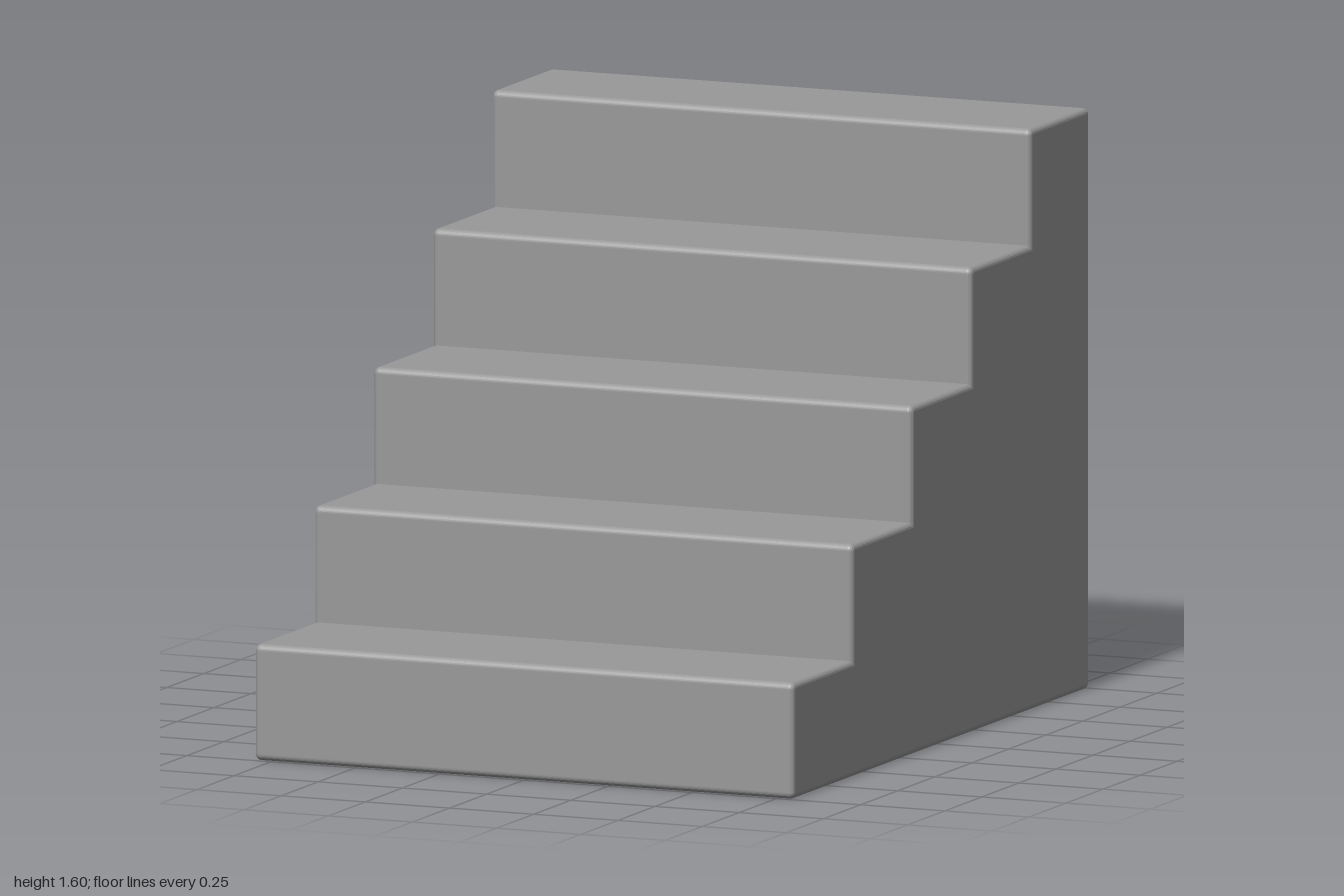
import * as THREE from 'three';

const STEPS = 5, RISE = 0.32, RUN = 0.4, WIDTH = 1.6, LENGTH = STEPS * RUN;
const ROUND = 0.018; // rounding of the profile's outer corners
const BEVEL = 0.015; // rounding along the two sides

// Side outline, with the foot of the stairs at -x and sharp inner corners
function stairProfile() {
  const shape = new THREE.Shape();
  const half = LENGTH / 2, q = Math.PI / 2;
  const corner = (x, y, start) => shape.absarc(x, y, ROUND, start * q, (start + 1) * q, false);

  corner(-half + ROUND, ROUND, 2);
  corner(half - ROUND, ROUND, 3);
  corner(half - ROUND, STEPS * RISE - ROUND, 0);
  for (let i = STEPS - 1; i >= 0; i--) {
    const x = -half + i * RUN;
    corner(x + ROUND, (i + 1) * RISE - ROUND, 1);
    if (i > 0) shape.lineTo(x, i * RISE);
  }
  shape.closePath();
  return shape;
}

export function createModel() {
  const model = new THREE.Group();
  model.name = 'staircase';

  const stone = new THREE.MeshStandardMaterial({ color: 0x999999 });
  stone.name = 'grey stone';

  // Solid block of steps, extruded across its width
  const depth = WIDTH - 2 * BEVEL;
  const geometry = new THREE.ExtrudeGeometry(stairProfile(), {
    depth, curveSegments: 4,
    bevelEnabled: true, bevelThickness: BEVEL, bevelSize: BEVEL,
    bevelOffset: -BEVEL, bevelSegments: 4,
  });
  geometry.translate(0, 0, -depth / 2);
  geometry.rotateY(Math.PI / 2);

  const steps = new THREE.Mesh(geometry, stone);
  steps.name = 'steps';
  model.add(steps);
  return model;
}
